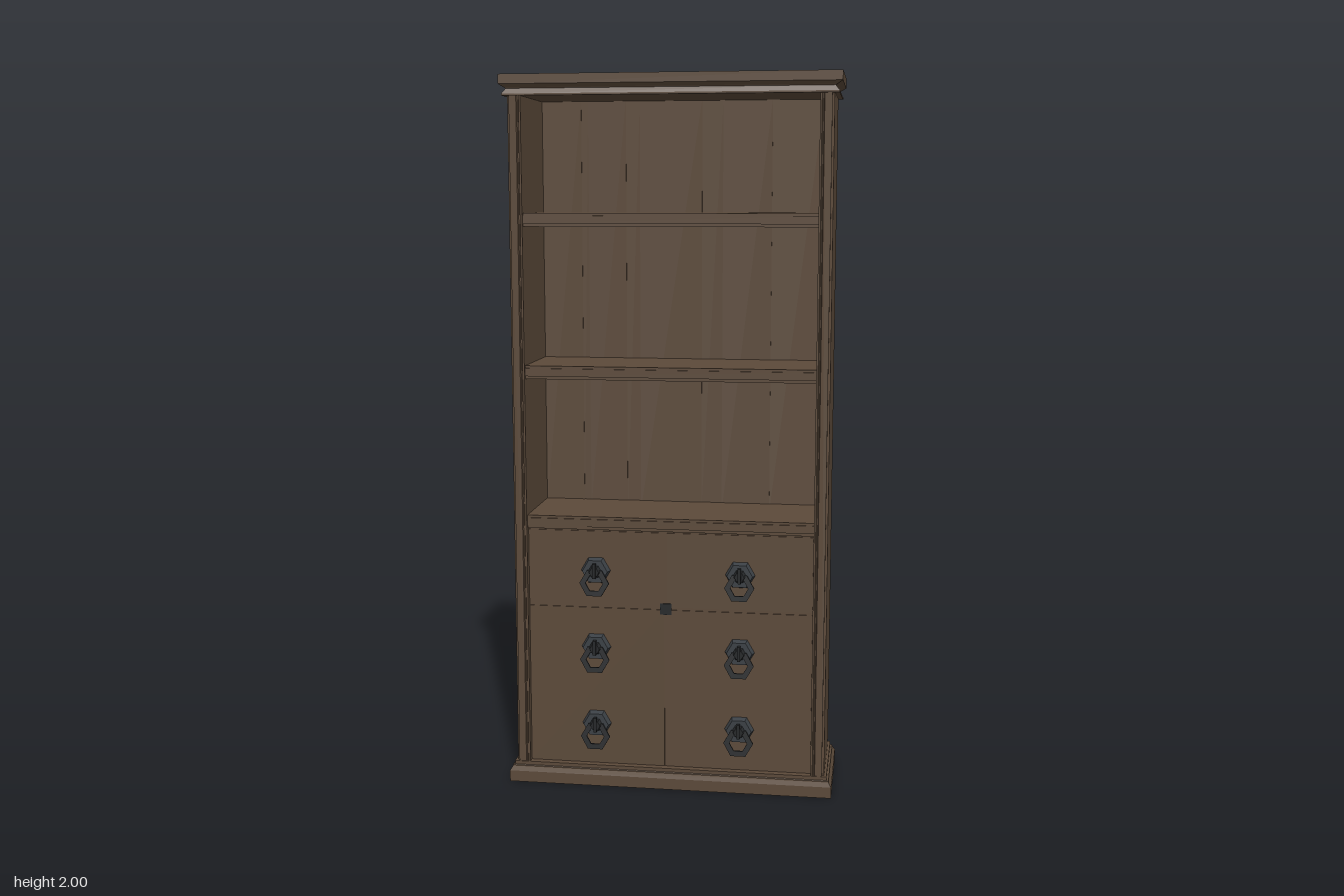
import * as THREE from 'three';

const ZC = -0.005; // depth centre of the carcass

export function createModel() {
  const model = new THREE.Group();
  const wood = new THREE.MeshStandardMaterial({ color: 0x5c4a3a });
  wood.name = 'brown wood';
  const iron = new THREE.MeshStandardMaterial({ color: 0x3b4045 });
  iron.name = 'grey iron';
  const darkIron = new THREE.MeshStandardMaterial({ color: 0x26282a });
  darkIron.name = 'dark iron';

  const add = (name, geo, mat, parent = model) => {
    const m = new THREE.Mesh(geo, mat);
    m.name = name;
    parent.add(m);
    return m;
  };
  // box given by its limits
  const box = (name, x0, x1, y0, y1, z0, z1, mat = wood) => {
    const m = add(name, new THREE.BoxGeometry(x1 - x0, y1 - y0, z1 - z0), mat);
    m.position.set((x0 + x1) / 2, (y0 + y1) / 2, (z0 + z1) / 2);
    return m;
  };

  // moulding: rectangular rings [halfWidth, halfDepth, y], listed upwards
  const moulding = (name, rings) => {
    const pos = [];
    const corners = ([hx, hz, y]) =>
      [[hx, hz], [hx, -hz], [-hx, -hz], [-hx, hz]].map(([x, z]) => [x, y, z + ZC]);
    const quad = (a, b, c, d) => pos.push(...a, ...b, ...c, ...a, ...c, ...d);
    const loops = rings.map(corners);
    for (let i = 0; i < loops.length - 1; i++) {
      for (let k = 0; k < 4; k++) {
        const n = (k + 1) % 4;
        quad(loops[i][k], loops[i][n], loops[i + 1][n], loops[i + 1][k]);
      }
    }
    const [b, t] = [loops[0], loops[loops.length - 1]];
    quad(b[3], b[2], b[1], b[0]);
    quad(t[0], t[1], t[2], t[3]);
    const g = new THREE.BufferGeometry();
    g.setAttribute('position', new THREE.Float32BufferAttribute(pos, 3));
    g.computeVertexNormals();
    add(name, g, wood);
  };
  moulding('basePlinth', [
    [0.463, 0.15, 0], [0.463, 0.15, 0.032], [0.455, 0.146, 0.045],
    [0.455, 0.146, 0.048], [0.449, 0.143, 0.05], [0.449, 0.143, 0.06],
  ]);
  moulding('crown', [
    [0.455, 0.147, 1.943], [0.455, 0.147, 1.948], [0.444, 0.141, 1.962],
    [0.449, 0.143, 1.965], [0.463, 0.15, 1.974], [0.463, 0.15, 2],
  ]);

  // side panels with a moulded front and back edge
  const edge = [[0.442, 0.127], [0.436, 0.13], [0.436, 0.136], [0.416, 0.136],
    [0.414, 0.132], [0.411, 0.132], [0.409, 0.136], [0.404, 0.136]];
  const back = edge.map(([x, z]) => [x, 2 * ZC - z + 0.002]).reverse();
  for (const s of [1, -1]) {
    const shape = new THREE.Shape([...edge, ...back].map(([x, z]) => new THREE.Vector2(s * x, -z)));
    const g = new THREE.ExtrudeGeometry(shape, { depth: 1.9, bevelEnabled: false });
    g.rotateX(-Math.PI / 2).translate(0, 0.05, 0);
    add(s > 0 ? 'leftSide' : 'rightSide', g, wood);
  }

  // back panel and its inner boards
  box('backPanel', -0.405, 0.405, 0.05, 1.95, -0.136, -0.129);
  const joints = [-0.405, -0.29, -0.27, -0.16, -0.12, 0.06, 0.12, 0.26, 0.405];
  for (let i = 0; i < joints.length - 1; i++) {
    box('backBoard', joints[i], joints[i + 1], 0.76, 1.95, -0.13, i % 2 ? -0.1265 : -0.125);
  }

  // shelves, each with a thin front lip
  for (const y of [0.748, 1.172, 1.592]) {
    box('shelf', -0.405, 0.405, y, y + 0.037, -0.127, 0.125);
    box('shelfLip', -0.405, 0.405, y + 0.008, y + 0.03, 0.12, 0.129);
  }

  // drawers above doors, with narrow gaps between them
  const face = 0.118;
  box('cupboardCore', -0.405, 0.405, 0.05, 0.75, -0.12, face - 0.003);
  for (const [x0, x1] of [[-0.403, -0.014], [-0.007, 0.403]]) {
    box('drawerFront', x0, x1, 0.528, 0.743, 0.1, face);
    box('doorFront', x0, x1, 0.06, 0.521, 0.1, face);
  }
  box('latchPlate', -0.026, 0.006, 0.508, 0.54, face, face + 0.003, darkIron);

  // pulls: six-sided plate, boss, strap and tilted six-sided ring
  const hexShape = (r) => new THREE.Shape(Array.from({ length: 6 }, (_, i) =>
    new THREE.Vector2(r * Math.cos(i * Math.PI / 3), r * Math.sin(i * Math.PI / 3))));
  const ringShape = hexShape(0.042);
  ringShape.holes.push(hexShape(0.025));
  const ringGeo = new THREE.ExtrudeGeometry(ringShape, { depth: 0.007, bevelEnabled: false });
  const hexPrism = (rFront, rBack, depth) =>
    new THREE.CylinderGeometry(rFront, rBack, depth, 6).toNonIndexed()
      .rotateY(Math.PI / 6).rotateX(Math.PI / 2);
  const flat = (g) => { g.computeVertexNormals(); return g; };
  const plateGeo = flat(hexPrism(0.036, 0.042, 0.018));
  const bossGeo = flat(hexPrism(0.014, 0.02, 0.014));
  for (const x of [-0.21, 0.2]) {
    for (const y of [0.63, 0.407, 0.18]) {
      const pull = new THREE.Group();
      pull.name = 'pull';
      pull.position.set(x, y, face);
      add('pullPlate', plateGeo, iron, pull).position.z = 0.009;
      add('pullBoss', bossGeo, darkIron, pull).position.z = 0.024;
      add('pullStrap', new THREE.BoxGeometry(0.009, 0.042, 0.012), darkIron, pull)
        .position.set(0, 0.004, 0.03);
      const ring = add('pullRing', ringGeo, darkIron, pull);
      ring.position.set(0, -0.032, 0.023);
      ring.rotation.x = -0.12;
      model.add(pull);
    }
  }
  return model;
}
